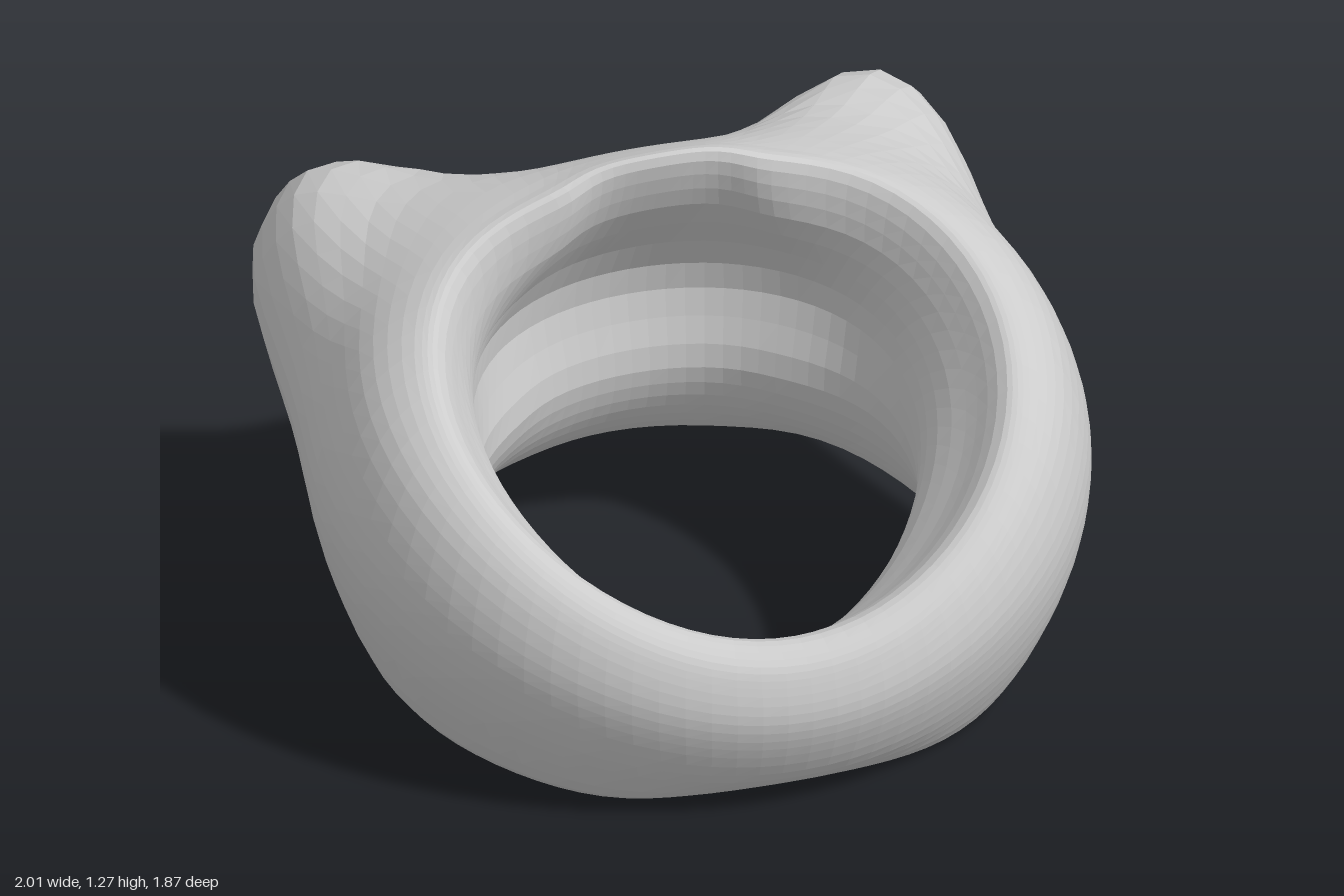
import * as THREE from 'three';

const CENTRE_Z = 0.1; // the sections fan out around this vertical axis
const AROUND = 80, ALONG = 44;

// Lines that run round the ring, each as [radius, height] at front, side and back.
// "ear" is how far the line is pulled out and up at the ears, "dip" how far it sinks at the feet.
const LINES = [
  { front: [.72, .48], side: [.72, 1], back: [.38, 1.27], ear: [-.045, 0] }, // rim
  { front: [.79, .45], side: [.77, 1], back: [.47, 1.24], ear: [-.02, 0] },
  { front: [.82, .39], side: [.88, .92], back: [.7, 1.1], ear: [.11, .035] }, // shoulder
  { front: [.835, .3], side: [.97, .74], back: [.89, .91], ear: [.25, .19] },
  { front: [.81, .2], side: [1, .56], back: [.975, .73], ear: [.305, .15] }, // widest line
  { front: [.74, .08], side: [.96, .34], back: [.94, .52], ear: [.15, .03], dip: .01 },
  { front: [.66, .03], side: [.83, .07], back: [.85, .24], ear: [.06, .01], dip: .028 }, // foot
  { front: [.56, .04], side: [.78, .06], back: [.78, .23], ear: [.03, .01], dip: .02 },
  { front: [.48, .1], side: [.66, .2], back: [.65, .35] }, // inside wall
  { front: [.43, .18], side: [.56, .42], back: [.59, .51], ear: [-.02, 0] }, // narrowest line
  { front: [.47, .28], side: [.57, .65], back: [.63, .77] },
  { front: [.6, .4], side: [.65, .87], back: [.41, 1.12], ear: [-.045, 0] },
];

const bump = (deg, centre, width) => Math.exp(-(((deg - centre) / width) ** 2));

// Two-term cosine wave through the front, side and back values
function wave(front, side, back, angle) {
  const mean = (front + back) / 4 + side / 2;
  return mean + ((front - back) / 2) * Math.cos(angle) + ((front + back) / 4 - side / 2) * Math.cos(2 * angle);
}

// Closed cross-section at an angle from the front (0 to 180 degrees)
function sectionAt(deg) {
  const angle = THREE.MathUtils.degToRad(deg);
  const earAmount = bump(deg, 140, deg < 140 ? 18 : 13.5);
  const dipAmount = bump(deg, 38, 22);
  const points = LINES.map(({ front, side, back, ear = [0, 0], dip = 0 }) => {
    const [radius, height] = [0, 1].map((n) => wave(front[n], side[n], back[n], angle) + ear[n] * earAmount);
    return new THREE.Vector3(radius, height - dip * dipAmount, 0);
  });
  return new THREE.CatmullRomCurve3(points, true, 'centripetal');
}

// Closed loft: one section per step around the ring, mirrored left to right
function ringGeometry() {
  const positions = [], index = [];
  for (let i = 0; i < AROUND; i++) {
    const deg = (i / AROUND) * 360, angle = THREE.MathUtils.degToRad(deg);
    const curve = sectionAt(Math.min(deg, 360 - deg));
    for (let j = 0; j < ALONG; j++) {
      const p = curve.getPoint(j / ALONG);
      positions.push(p.x * Math.sin(angle), Math.max(0, p.y), CENTRE_Z + p.x * Math.cos(angle));
      const i2 = (i + 1) % AROUND, j2 = (j + 1) % ALONG;
      const a = i * ALONG + j, b = i2 * ALONG + j, c = i * ALONG + j2, d = i2 * ALONG + j2;
      index.push(a, c, b, b, c, d);
    }
  }
  const geometry = new THREE.BufferGeometry();
  geometry.setAttribute('position', new THREE.Float32BufferAttribute(positions, 3));
  geometry.setIndex(index);
  geometry.computeVertexNormals();
  return geometry;
}

export function createModel() {
  const group = new THREE.Group();
  group.name = 'earedRing';
  const material = new THREE.MeshStandardMaterial({ color: 0xcccccc, flatShading: true });
  const ring = new THREE.Mesh(ringGeometry(), material);
  ring.name = 'ringBodyWithEars';
  group.add(ring);
  return group;
}
